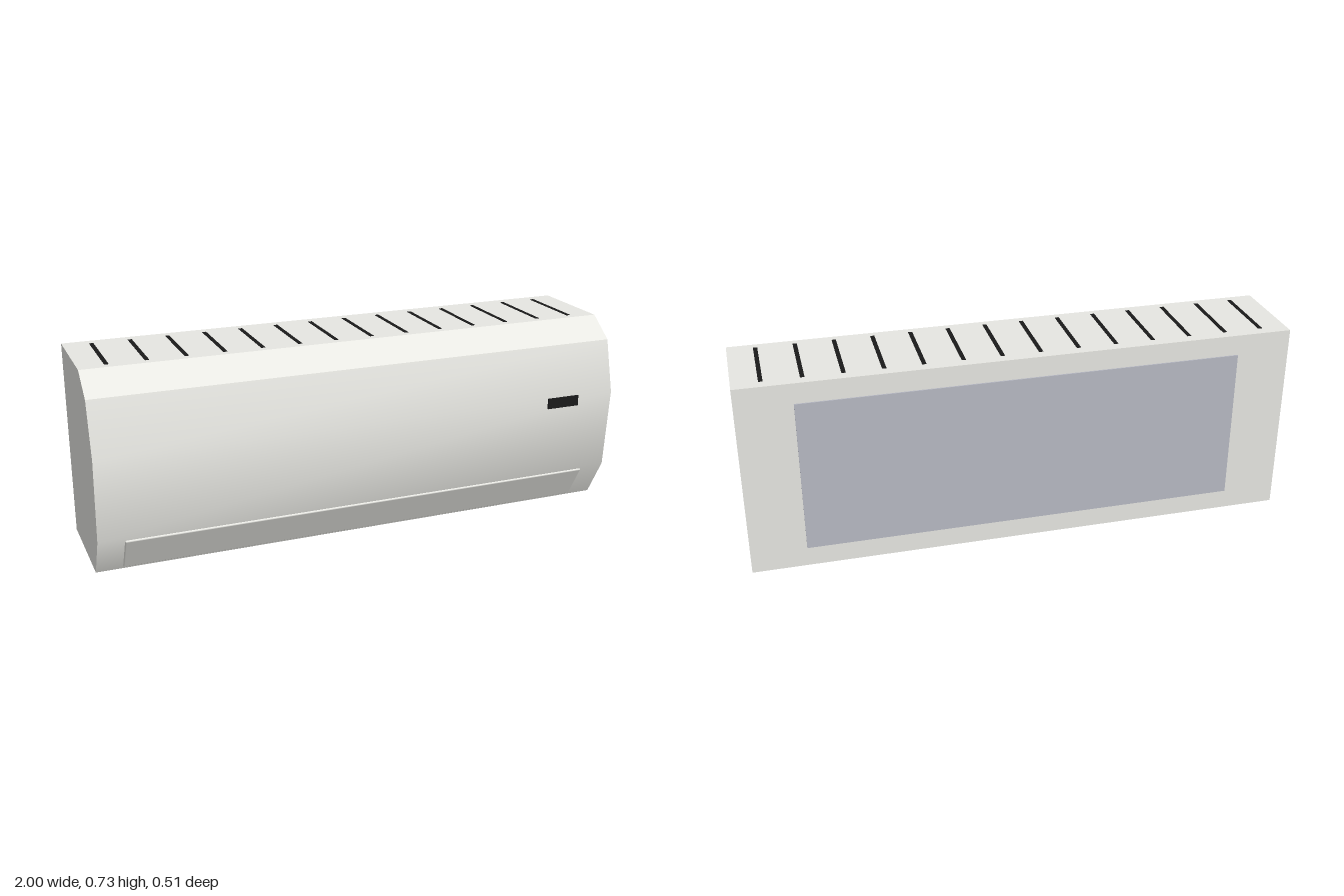
import * as THREE from 'three';
import { toCreasedNormals } from 'three/addons/utils/BufferGeometryUtils.js';
import { RoundedBoxGeometry } from 'three/addons/geometries/RoundedBoxGeometry.js';

function material(name, color) {
  const m = new THREE.MeshStandardMaterial({ color });
  m.name = name;
  return m;
}

export function createModel() {
  const model = new THREE.Group();
  model.name = 'wallAirConditioner';
  const white = material('casingWhite', 0xe8e8e3);
  const black = material('black', 0x1a1a1a);
  const grey = material('plateGrey', 0xb8bac4);

  const add = (name, geometry, mat, x = 0, y = 0, z = 0) => {
    const mesh = new THREE.Mesh(geometry, mat);
    mesh.name = name;
    mesh.position.set(x, y, z);
    model.add(mesh);
    return mesh;
  };

  // Casing: side profile (z, y) extruded along the width
  const profile = [
    [-0.25, 0], [0.14, 0], [0.225, 0.15], [0.25, 0.455],
    [0.2, 0.652], [0.1, 0.726], [-0.25, 0.726],
  ].map(([z, y]) => new THREE.Vector2(z, y));
  const casing = new THREE.ExtrudeGeometry(new THREE.Shape(profile), { depth: 2, bevelEnabled: false });
  casing.rotateY(-Math.PI / 2).translate(1, 0, 0);
  add('casing', toCreasedNormals(casing, Math.PI / 6), white);

  // Air outlet flap lying on the lower sloping face
  const flap = add('outletFlap', new RoundedBoxGeometry(1.81, 0.148, 0.012, 3, 0.005), white, 0, 0.075, 0.1825);
  flap.rotation.x = Math.atan2(0.085, 0.15);

  // Display window on the front
  add('display', new THREE.BoxGeometry(0.13, 0.04, 0.009), black, 0.785, 0.44, 0.2505);

  // Wall mounting plate on the back
  add('mountingPlate', new THREE.BoxGeometry(1.6, 0.575, 0.009), grey, 0, 0.3625, -0.2505);

  // Row of intake slots on the top
  const count = 14;
  const slot = new THREE.BoxGeometry(0.015, 0.004, 0.28);
  for (let i = 0; i < count; i++) {
    add(`intakeSlot${i + 1}`, slot, black, -0.9 + (1.8 * i) / (count - 1), 0.7255, -0.07);
  }
  return model;
}
